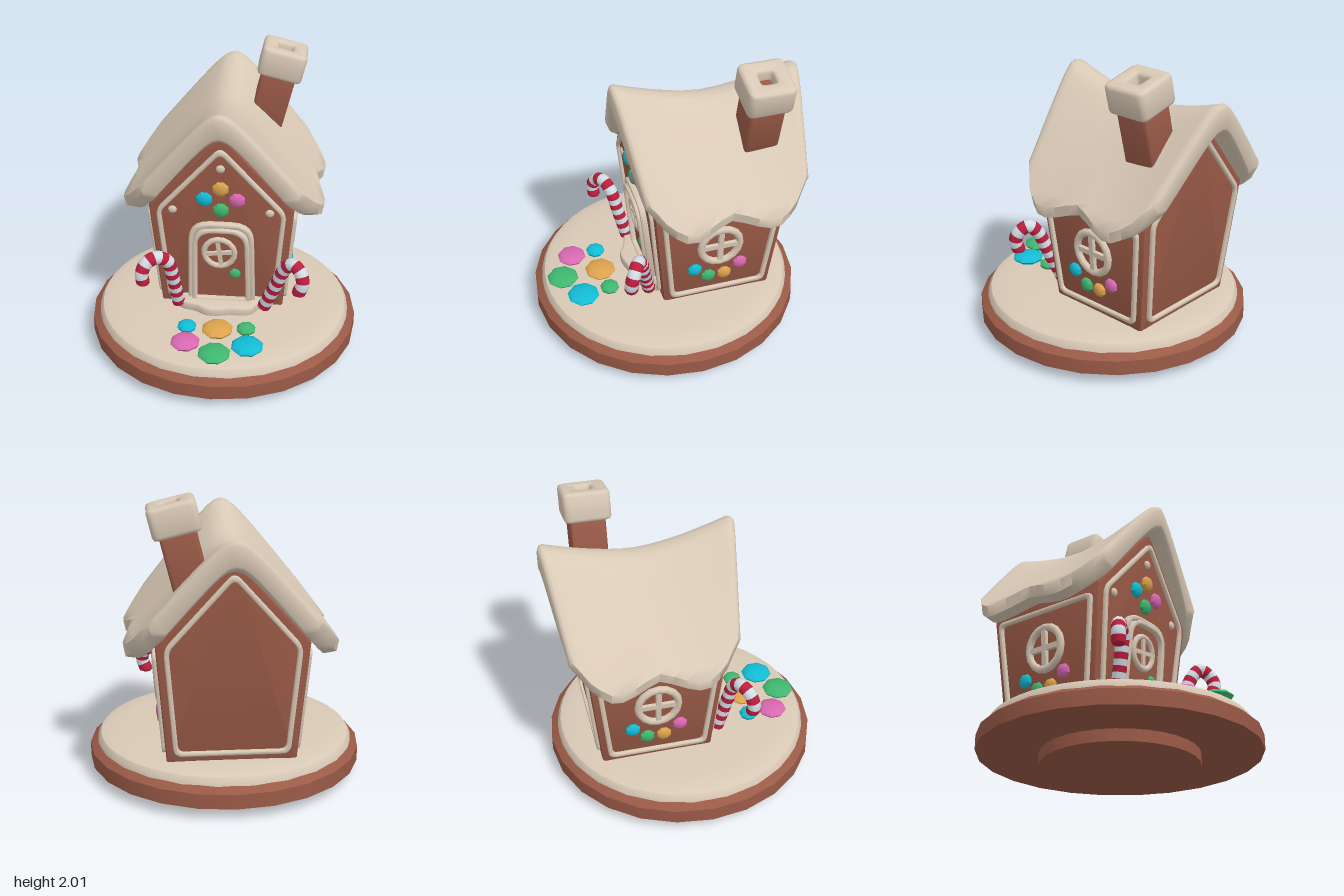
import * as THREE from 'three';
import { toCreasedNormals } from 'three/addons/utils/BufferGeometryUtils.js';

const mat = (name, color) => Object.assign(new THREE.MeshStandardMaterial({ color }), { name });
const M = {
  brown: mat('gingerbread', 0x9a5a47), cream: mat('icing', 0xd9c9b6),
  red: mat('candyRed', 0xbd1f3e), white: mat('candyWhite', 0xd3dfe6),
  cyan: mat('cyanCandy', 0x12bcd4), green: mat('greenCandy', 0x3fb770),
  orange: mat('orangeCandy', 0xdda34b), pink: mat('pinkCandy', 0xd868b0),
};

function add(parent, name, geo, material, x = 0, y = 0, z = 0) {
  const m = new THREE.Mesh(geo, material);
  m.name = name;
  m.position.set(x, y, z);
  parent.add(m);
  return m;
}

// Polygon with rounded corners; r is one radius or one per corner
function rounded(pts, r, Kind = THREE.Shape) {
  const s = new Kind(), n = pts.length;
  const toward = (p, q, d) => {
    const l = Math.hypot(q[0] - p[0], q[1] - p[1]);
    return [p[0] + (q[0] - p[0]) * d / l, p[1] + (q[1] - p[1]) * d / l];
  };
  pts.forEach((p, i) => {
    const d = Array.isArray(r) ? r[i] : r;
    const a = toward(p, pts[(i + n - 1) % n], d), b = toward(p, pts[(i + 1) % n], d);
    if (i) s.lineTo(...a); else s.moveTo(...a);
    s.quadraticCurveTo(...p, ...b);
  });
  s.closePath();
  return s;
}

// Moves every edge of a counter-clockwise polygon inwards by d
function inset(pts, d) {
  const n = pts.length;
  const norm = (p, q) => {
    const l = Math.hypot(q[0] - p[0], q[1] - p[1]);
    return [-(q[1] - p[1]) / l, (q[0] - p[0]) / l];
  };
  return pts.map((p, i) => {
    const a = norm(pts[(i + n - 1) % n], p), b = norm(p, pts[(i + 1) % n]);
    const k = d / (1 + a[0] * b[0] + a[1] * b[1]);
    return [p[0] + (a[0] + b[0]) * k, p[1] + (a[1] + b[1]) * k];
  });
}

function extrude(shape, depth, bevel) {
  return new THREE.ExtrudeGeometry(shape, {
    depth: depth - bevel * 2, bevelSize: bevel, bevelThickness: bevel, bevelOffset: -bevel,
    bevelSegments: 2, curveSegments: 5,
  }).translate(0, 0, bevel);
}

function frame(pts, width, depth, r) {
  const shape = rounded(pts, r);
  shape.holes.push(rounded(inset(pts, width), Array.isArray(r) ? r.map(v => v * 0.75) : r * 0.7, THREE.Path));
  return toCreasedNormals(extrude(shape, depth, 0.009), 0.9);
}

// Faceted sweet, domed along +z
function sweet(parent, color, r, x, y, z = 0, thick = 0.5) {
  const pts = [[0, 1], [0.55, 0.9], [0.88, 0.5], [1, 0], [0.85, -0.6], [0, -0.8]]
    .map(([a, b]) => new THREE.Vector2(a * r, b * r * thick)).reverse();
  const g = toCreasedNormals(new THREE.LatheGeometry(pts, 8, Math.PI / 8), 0.6).rotateX(Math.PI / 2);
  return add(parent, color + 'Sweet', g, M[color], x, y, z);
}

function roundWindow(parent, R, tube, x, y, z, turn) {
  const w = new THREE.Group();
  w.name = 'roundWindow';
  w.position.set(x, y, z);
  w.rotation.z = turn;
  add(w, 'windowRing', new THREE.TorusGeometry(R, tube, 8, 16), M.cream).scale.y = 1.06;
  add(w, 'windowBarUpright', new THREE.BoxGeometry(tube * 1.4, R * 2, tube * 1.4), M.cream);
  add(w, 'windowBarLevel', new THREE.BoxGeometry(R * 2, tube * 1.4, tube * 1.3), M.cream);
  parent.add(w);
}

const FLOOR = 0.28, ZC = -0.26, LEAN = 0.1;

// Group lying on one outward-leaning wall: x across, y up, z outwards
function panel(parent, name, angle, dist, lean) {
  const p = new THREE.Group();
  p.name = name;
  p.rotation.set(-0, angle, 0, 'YXZ');
  p.rotation.x = lean;
  p.position.set(Math.sin(angle) * dist, FLOOR, Math.cos(angle) * dist + ZC);
  parent.add(p);
  return p;
}

// Sagging icing roof, swept from front to back as closed cross-sections
function roofGeometry() {
  const ts = [-1, -0.985, -0.95, -0.88, -0.8, -0.7, -0.58, -0.45, -0.3, -0.15, 0];
  for (let i = 9; i >= 0; i--) ts.push(-ts[i]);
  const eave = [[0, 0.63], [0.2, 0.655], [0.4, 0.69], [0.6, 0.685], [0.78, 0.635], [0.9, 0.57], [1, 0.52]];
  const width = t => {
    const i = Math.max(1, eave.findIndex(e => e[0] >= t));
    const [a, b] = [eave[i - 1], eave[i]];
    return THREE.MathUtils.lerp(a[1], b[1], (t - a[0]) / (b[0] - a[0]));
  };
  const prof = x => 1.96 - Math.hypot(1.28 * x, 0.11);
  const n = 24, size = 2 * n + 4, pos = [], idx = [];
  for (const t of ts) {
    const at = Math.abs(t), W = width(at), pinch = at > 0.99 ? 1 : at > 0.97 ? 0.35 : 0;
    const put = (x, y, s) => pos.push(x,
      y - (0.16 * (1 - at ** 1.5) + 0.02 * (1 - t)) * (1 - s), -0.28 + t * (0.645 - 0.09 * s));
    const tip = d => put(d * (W - 0.015), prof(W) - 0.075, 1);
    for (let k = 0; k <= n; k++) {
      const s = k / n * 2 - 1;
      put(s * W, prof(s * W) - 0.05 * pinch, Math.abs(s));
    }
    tip(1);
    for (let k = n; k >= 0; k--) {
      const s = k / n * 2 - 1, x = s * (W - 0.1 * Math.abs(s));
      put(x, prof(x) - 0.185 - 0.03 * Math.abs(s) + 0.02 * pinch, Math.abs(s));
    }
    tip(-1);
  }
  for (let r = 0; r < ts.length - 1; r++) for (let i = 0; i < size; i++) {
    const j = (i + 1) % size, a = r * size + i, b = r * size + j;
    idx.push(a, a + size, b + size, a, b + size, b);
  }
  const inner = k => 2 * n + 2 - k;
  for (const [base, front] of [[(ts.length - 1) * size, true], [0, false]]) {
    const tri = (a, b, c) => idx.push(base + a, base + (front ? b : c), base + (front ? c : b));
    for (let k = 0; k < n; k++) {
      tri(k, inner(k), inner(k + 1));
      tri(k, inner(k + 1), k + 1);
    }
    tri(n, inner(n), n + 1);
    tri(0, size - 1, inner(0));
  }
  const g = new THREE.BufferGeometry();
  g.setAttribute('position', new THREE.Float32BufferAttribute(pos, 3));
  g.setIndex(idx);
  return toCreasedNormals(g, 1.0);
}

function candyCane(parent, name, xy) {
  const zs = [0.2, 0.26, 0.29, 0.325, 0.365, 0.39, 0.385];
  const path = new THREE.CatmullRomCurve3(xy.map(([x, y], i) => new THREE.Vector3(x, y, zs[i])));
  const bands = 17, per = 2, sides = 10;
  const g = new THREE.TubeGeometry(path, bands * per, 0.047, sides);
  for (let b = 0; b < bands; b++) g.addGroup(b * per * sides * 6, per * sides * 6, b % 2);
  add(parent, name, g, [M.red, M.white]);
  const end = add(parent, name + 'Tip', new THREE.SphereGeometry(0.0465, 10, 6), M.red);
  end.position.copy(path.getPoint(1));
  end.scale.y = 0.5;
}

export function createModel() {
  const root = new THREE.Group();
  root.name = 'gingerbreadHouse';
  const lathe = (pts, seg) =>
    toCreasedNormals(new THREE.LatheGeometry(pts.map(p => new THREE.Vector2(...p)), seg), 0.5);

  // Round stand with its icing
  add(root, 'foot', new THREE.CylinderGeometry(0.53, 0.53, 0.09, 32), M.brown, 0, 0.045, 0);
  add(root, 'board', lathe([[0, 0.08], [0.94, 0.08], [0.94, 0.18], [0.885, 0.22], [0, 0.22]], 24), M.brown);
  add(root, 'groundIcing', lathe([[0.89, 0.2], [0.885, 0.235], [0.865, 0.265], [0.82, 0.28], [0.7, 0.288], [0, 0.3]], 48), M.cream);

  // Walls, widening upwards on all four sides
  const gable = [[-0.425, 0], [0.425, 0], [0.49, 0.82], [0, 1.38], [-0.49, 0.82]];
  const body = extrude(rounded(gable, 0.01), 0.766, 0.02).translate(0, 0, -0.383);
  const p = body.attributes.position;
  for (let i = 0; i < p.count; i++) p.setZ(i, p.getZ(i) + Math.sign(p.getZ(i)) * LEAN * p.getY(i));
  add(root, 'walls', toCreasedNormals(body, 0.6), M.brown, 0, FLOOR, ZC);

  // Front and back walls
  const front = panel(root, 'frontWall', 0, 0.383, LEAN);
  const back = panel(root, 'backWall', Math.PI, 0.383, LEAN);
  for (const w of [front, back])
    add(w, 'wallTrim', frame(inset(gable, 0.05), 0.032, 0.035, 0.06), M.cream, 0, 0, -0.012);
  for (const [x, y] of [[0, 1.135], [-0.327, 0.8], [0.327, 0.8]])
    add(front, 'icingDot', new THREE.SphereGeometry(0.03, 10, 8), M.cream, x, y, 0).scale.z = 0.6;
  for (const [c, x, y] of [['orange', 0, 0.985], ['cyan', -0.11, 0.9], ['pink', 0.11, 0.9], ['green', 0, 0.815]])
    sweet(front, c, 0.057, x, y, 0.012);

  // Door
  const arch = [[-0.235, 0.03], [0.235, 0.03], [0.22, 0.715], [-0.22, 0.715]];
  const corners = [0.01, 0.01, 0.15, 0.15];
  add(front, 'doorFrame', frame(arch, 0.035, 0.05, corners), M.cream, 0, 0, -0.01);
  add(front, 'doorFrameInner', frame(inset(arch, 0.03), 0.032, 0.07, corners), M.cream, 0, 0, -0.01);
  add(front, 'door', extrude(rounded(inset(arch, 0.055), [0.01, 0.01, 0.11, 0.11]), 0.035, 0.005), M.brown, 0, 0, -0.01);
  roundWindow(front, 0.105, 0.02, -0.012, 0.475, 0.03, 0.12);
  sweet(front, 'green', 0.04, 0.095, 0.305, 0.035, 0.6);

  // Side walls, each with a window and four sweets
  const sideWall = [[-0.383, 0], [0.383, 0], [0.463, 0.8], [-0.463, 0.8]];
  for (const [name, angle] of [['leftWall', Math.PI / 2], ['rightWall', -Math.PI / 2]]) {
    const w = panel(root, name, angle, 0.425, 0.08);
    add(w, 'wallTrim', frame(inset(sideWall, 0.045), 0.032, 0.035, 0.05), M.cream, 0, 0, -0.012);
    roundWindow(w, 0.138, 0.026, 0, 0.47, 0.008, 0);
    for (const [c, x, y] of [['cyan', -0.175, 0.28], ['green', -0.075, 0.2], ['orange', 0.04, 0.2], ['pink', 0.15, 0.275]])
      sweet(w, c, 0.052, x, y, 0.012);
  }

  // Roof
  add(root, 'roof', roofGeometry(), M.cream);

  // Leaning chimney with a hollow icing cap
  const chimney = new THREE.Group();
  chimney.name = 'chimney';
  chimney.position.set(0.358, 1.877, -0.555);
  chimney.rotation.z = -0.24;
  root.add(chimney);
  const square = h => [[-h, -h], [h, -h], [h, h], [-h, h]];
  const ring = rounded(square(0.156), 0.05);
  ring.holes.push(rounded(square(0.05), 0.02, THREE.Path));
  const cap = toCreasedNormals(extrude(ring, 0.2, 0.025), 0.8).rotateX(-Math.PI / 2);
  add(chimney, 'chimneyCap', cap, M.cream, 0, -0.1, 0);
  const stack = extrude(rounded(square(0.118), 0.025), 0.6, 0.005).rotateX(-Math.PI / 2);
  add(chimney, 'chimneyStack', toCreasedNormals(stack, 0.7), M.brown, 0, -0.58, 0);

  // Wavy icing doorstep
  const step = new THREE.Shape();
  for (let i = 0; i <= 40; i++) {
    const a = i / 40 * Math.PI * 2, r = 1 + 0.07 * Math.cos(a * 7);
    step[i ? 'lineTo' : 'moveTo'](Math.cos(a) * 0.3 * r, Math.sin(a) * 0.16 * r);
  }
  const stepGeo = toCreasedNormals(extrude(step, 0.075, 0.015), 0.8).rotateX(-Math.PI / 2);
  add(root, 'doorstep', stepGeo, M.cream, 0, 0.28, 0.14);

  // Candy canes either side of the door
  candyCane(root, 'rightCandyCane', [[-0.3, 0.33], [-0.33, 0.58], [-0.355, 0.71], [-0.42, 0.765], [-0.49, 0.74], [-0.522, 0.67], [-0.515, 0.6]]);
  candyCane(root, 'leftCandyCane', [[0.3, 0.33], [0.395, 0.58], [0.44, 0.7], [0.495, 0.76], [0.55, 0.72], [0.565, 0.65], [0.54, 0.58]]);

  // Stepping stones made of sweets
  for (const [c, r, x, z] of [['pink', 0.102, -0.2, 0.64], ['green', 0.112, 0.005, 0.75], ['cyan', 0.112, 0.217, 0.65],
    ['orange', 0.11, 0, 0.475], ['cyan', 0.067, -0.21, 0.46], ['green', 0.067, 0.195, 0.455]])
    sweet(root, c, r, x, 0.31, z, 0.034 / r).rotation.x = -Math.PI / 2;
  return root;
}
